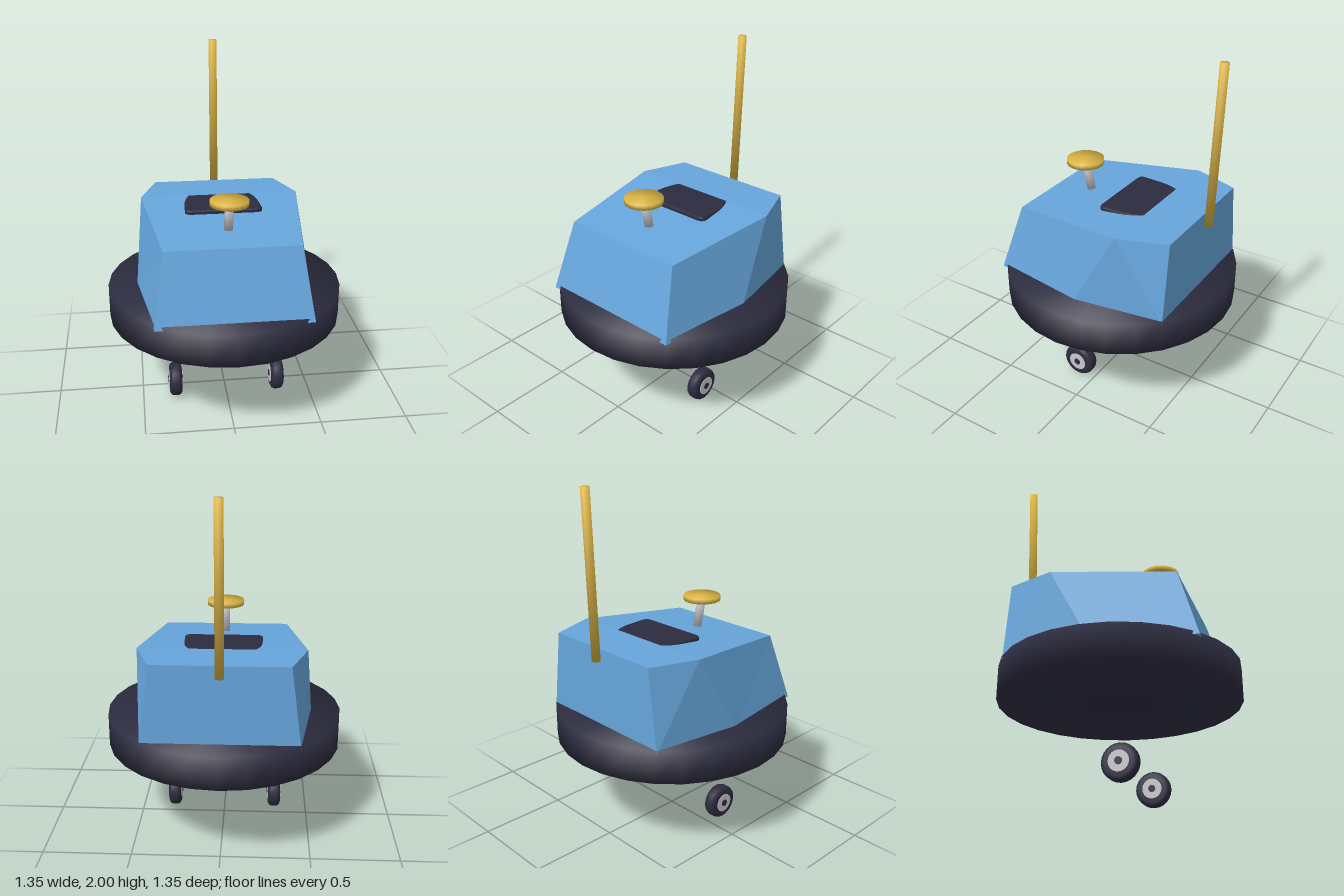
import * as THREE from 'three';

const mat = (name, color) => {
  const m = new THREE.MeshStandardMaterial({ color });
  m.name = name;
  return m;
};

export function createModel() {
  const blue = mat('body blue', 0x67a6dc);
  const dark = mat('dark rubber', 0x2d2c40);
  const gold = mat('gold', 0xdab443);
  const grey = mat('light grey', 0xc9c9ce);
  const group = new THREE.Group();

  const add = (name, geometry, material, parent = group) => {
    const mesh = new THREE.Mesh(geometry, material);
    mesh.name = name;
    parent.add(mesh);
    return mesh;
  };

  // Cylinder whose normals blend softly over the rim
  const softCylinder = (r, h, sides) => {
    const g = new THREE.CylinderGeometry(r, r, h, sides);
    const p = g.attributes.position;
    const n = new THREE.Vector3();
    for (let i = 0; i < p.count; i++) {
      n.set(p.getX(i) / r, Math.sign(p.getY(i)), p.getZ(i) / r).normalize();
      g.attributes.normal.setXYZ(i, n.x, n.y, n.z);
    }
    return g;
  };

  // Soft rod between two points in the middle plane, each [y, z]
  const rod = (name, r, sides, [y0, z0], [y1, z1], material) => {
    const a = new THREE.Vector3(0, y0, z0), b = new THREE.Vector3(0, y1, z1);
    const mesh = add(name, softCylinder(r, a.distanceTo(b), sides), material);
    mesh.position.copy(a).add(b).multiplyScalar(0.5);
    mesh.quaternion.setFromUnitVectors(new THREE.Vector3(0, 1, 0), b.sub(a).normalize());
  };

  // Round bumper
  add('bumper', softCylinder(0.675, 0.19, 28), dark).position.y = 0.605;

  // Faceted body: top and bottom outline of one half, mirrored
  const half = [
    [0.37, 1.08, 0.43], [0.465, 1.14, -0.25], [0.37, 1.14, -0.52],
    [0.43, 0.68, 0.55], [0.51, 0.68, 0], [0.43, 0.68, -0.52],
  ];
  const corners = [...half, ...half.map(([x, y, z]) => [-x, y, z])];
  const side = [[0, 3, 4], [0, 4, 1], [1, 4, 5], [1, 5, 2]];
  const faces = [
    ...side, ...side.map(([a, b, c]) => [a + 6, c + 6, b + 6]),
    [6, 9, 3], [6, 3, 0],                             // front
    [2, 5, 11], [2, 11, 8],                           // back
    [6, 0, 1], [6, 1, 7], [7, 1, 2], [7, 2, 8],       // top
    [9, 4, 3], [9, 10, 4], [10, 5, 4], [10, 11, 5],   // underside
  ];
  const bodyGeo = new THREE.BufferGeometry();
  bodyGeo.setAttribute('position', new THREE.Float32BufferAttribute(
    faces.flat().flatMap((i) => corners[i]), 3));
  bodyGeo.computeVertexNormals();
  add('body', bodyGeo, blue);

  // Seat pad, drawn in plan (shape y = -z) and raised
  const plan = new THREE.Shape();
  plan.moveTo(-0.175, 0.243);
  plan.lineTo(0.175, 0.243);
  plan.quadraticCurveTo(0.2, 0.19, 0.204, 0.13);
  plan.lineTo(0.21, 0.02);
  plan.quadraticCurveTo(0.21, 0, 0.185, 0);
  plan.lineTo(-0.185, 0);
  plan.quadraticCurveTo(-0.21, 0, -0.21, 0.02);
  plan.lineTo(-0.204, 0.13);
  plan.quadraticCurveTo(-0.2, 0.19, -0.175, 0.243);
  const seatGeo = new THREE.ExtrudeGeometry(plan, {
    depth: 0.02, bevelThickness: 0.01, bevelSize: 0.012, bevelSegments: 2, curveSegments: 4,
  });
  const seat = add('seat', seatGeo, dark);
  seat.rotation.x = -Math.PI / 2;
  seat.position.y = 1.1125;

  // Steering
  rod('steeringColumn', 0.025, 12, [1.1, 0.208], [1.265, 0.243], grey);
  add('steeringWheel', softCylinder(0.108, 0.028, 16), gold).position.set(0, 1.27, 0.245);

  // Rear pole
  rod('pole', 0.024, 12, [1.085, -0.553], [2.0, -0.586], gold);

  // Wheels with a hub disc and axle cap on both faces
  const tyreProfile = [
    [0, -0.037], [0.075, -0.037], [0.092, -0.029], [0.098, -0.015],
    [0.098, 0.015], [0.092, 0.029], [0.075, 0.037], [0, 0.037],
  ].map(([r, y]) => new THREE.Vector2(r, y));
  for (const s of [-1, 1]) {
    const wheel = new THREE.Group();
    wheel.name = s > 0 ? 'leftWheel' : 'rightWheel';
    wheel.position.set(s * 0.305, 0.1, 0.1);
    wheel.rotation.z = Math.PI / 2;
    add('tyre', new THREE.LatheGeometry(tyreProfile, 24), dark, wheel);
    add('hub', new THREE.CylinderGeometry(0.055, 0.055, 0.08, 20), grey, wheel);
    add('axle', new THREE.CylinderGeometry(0.02, 0.02, 0.088, 12), dark, wheel);
    group.add(wheel);
  }
  return group;
}
